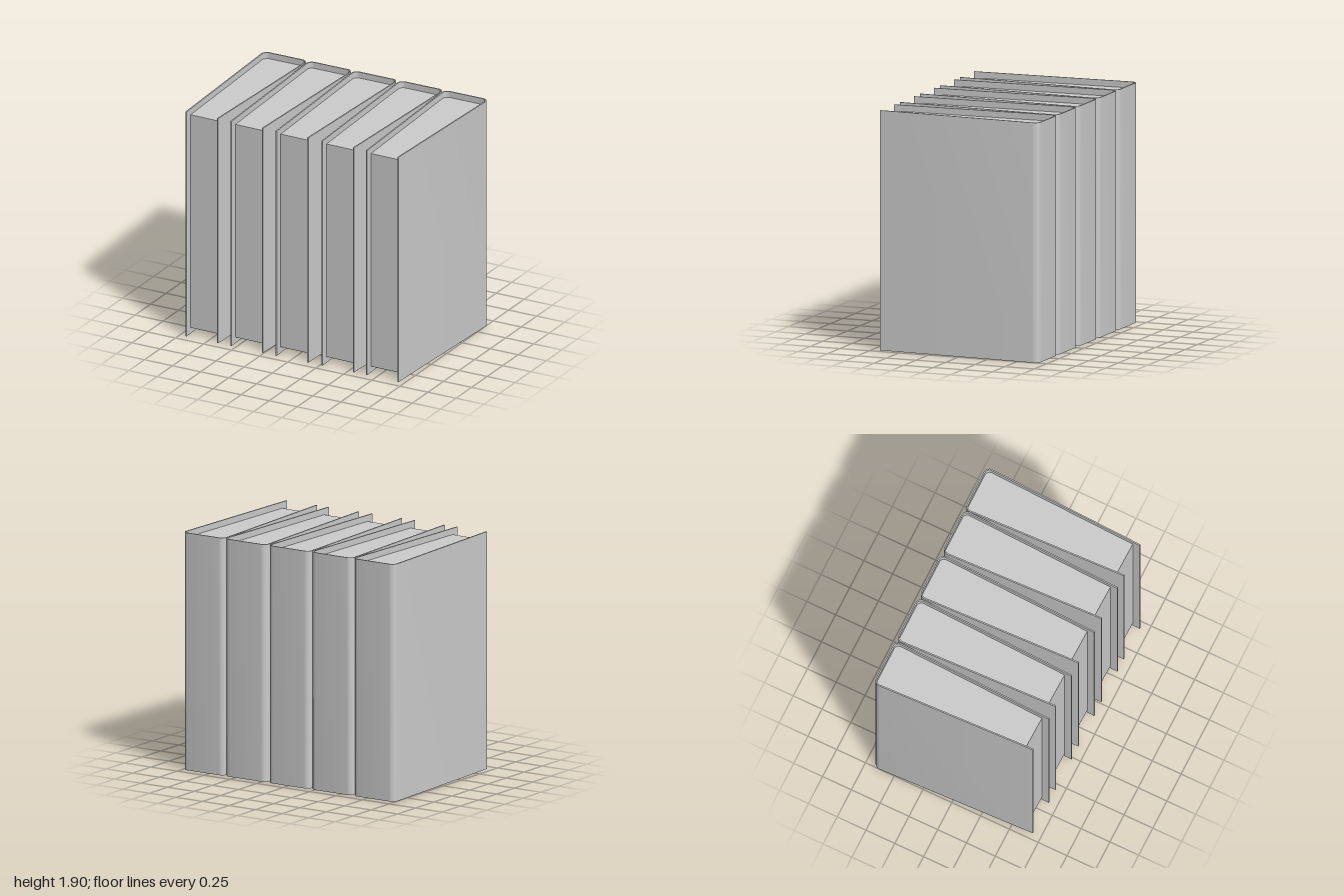
import * as THREE from 'three';
import { toCreasedNormals } from 'three/addons/utils/BufferGeometryUtils.js';

const HEIGHT = 1.9, FRONT = 0.68, BACK = -0.68, THICK = 0.011;

// Half width of a book at depth z, inset by the cover thickness if needed
const halfWidth = (z, inset) => 0.196 - 0.05 * (z + 0.62) / 1.3 - inset;

// Upright prism from a plan-view shape drawn in (x, -z)
function prism(shape, y0, y1) {
  const geo = new THREE.ExtrudeGeometry(shape, { depth: y1 - y0, bevelEnabled: false, curveSegments: 8 });
  geo.rotateX(-Math.PI / 2).translate(0, y0, 0);
  return toCreasedNormals(geo, 0.5);
}

// Traces the right side, rounded spine and left side from the front edge
function traceSpine(shape, inset, radius, zLeft, zRight) {
  const zb = BACK + inset, zc = zb + radius, w = halfWidth(zc, inset);
  const k = radius * 0.45;
  shape.lineTo(halfWidth(zRight, inset), -zRight);
  shape.lineTo(w, -zc);
  shape.bezierCurveTo(w, -zc + radius - k, w - k, -zb, w - radius, -zb);
  shape.lineTo(-w + radius, -zb);
  shape.bezierCurveTo(-w + k, -zb, -w, -zc + radius - k, -w, -zc);
  shape.lineTo(-halfWidth(zLeft, inset), -zLeft);
}

function coverGeometry() {
  const shape = new THREE.Shape();
  shape.moveTo(halfWidth(FRONT, 0), -FRONT);
  traceSpine(shape, 0, 0.05, FRONT, FRONT);
  // Return along the inside of the cover
  const zb = BACK + THICK, r = 0.039, zc = zb + r, w = halfWidth(zc, THICK), k = r * 0.45;
  shape.lineTo(-halfWidth(FRONT, THICK), -FRONT);
  shape.lineTo(-w, -zc);
  shape.bezierCurveTo(-w, -zc + r - k, -w + k, -zb, -w + r, -zb);
  shape.lineTo(w - r, -zb);
  shape.bezierCurveTo(w - k, -zb, w, -zc + r - k, w, -zc);
  shape.lineTo(halfWidth(FRONT, THICK), -FRONT);
  shape.closePath();
  return prism(shape, 0, HEIGHT);
}

function pagesGeometry() {
  const shape = new THREE.Shape();
  shape.moveTo(-halfWidth(0.613, THICK), -0.613);
  traceSpine(shape, THICK, 0.039, 0.613, 0.619);
  shape.closePath();
  return prism(shape, 0.05, HEIGHT - 0.05);
}

export function createModel() {
  const model = new THREE.Group();
  model.name = 'bookRow';
  const grey = new THREE.MeshStandardMaterial({ color: 0xcccccc });
  grey.name = 'light grey';
  const cover = coverGeometry(), pages = pagesGeometry();

  // Five books side by side, spines to the back
  [-0.804, -0.404, -0.001, 0.408, 0.804].forEach((x, i) => {
    const book = new THREE.Group();
    book.name = `book${i + 1}`;
    const coverMesh = new THREE.Mesh(cover, grey);
    coverMesh.name = 'cover';
    const pagesMesh = new THREE.Mesh(pages, grey);
    pagesMesh.name = 'pages';
    book.add(coverMesh, pagesMesh);
    book.position.x = x;
    model.add(book);
  });
  return model;
}
